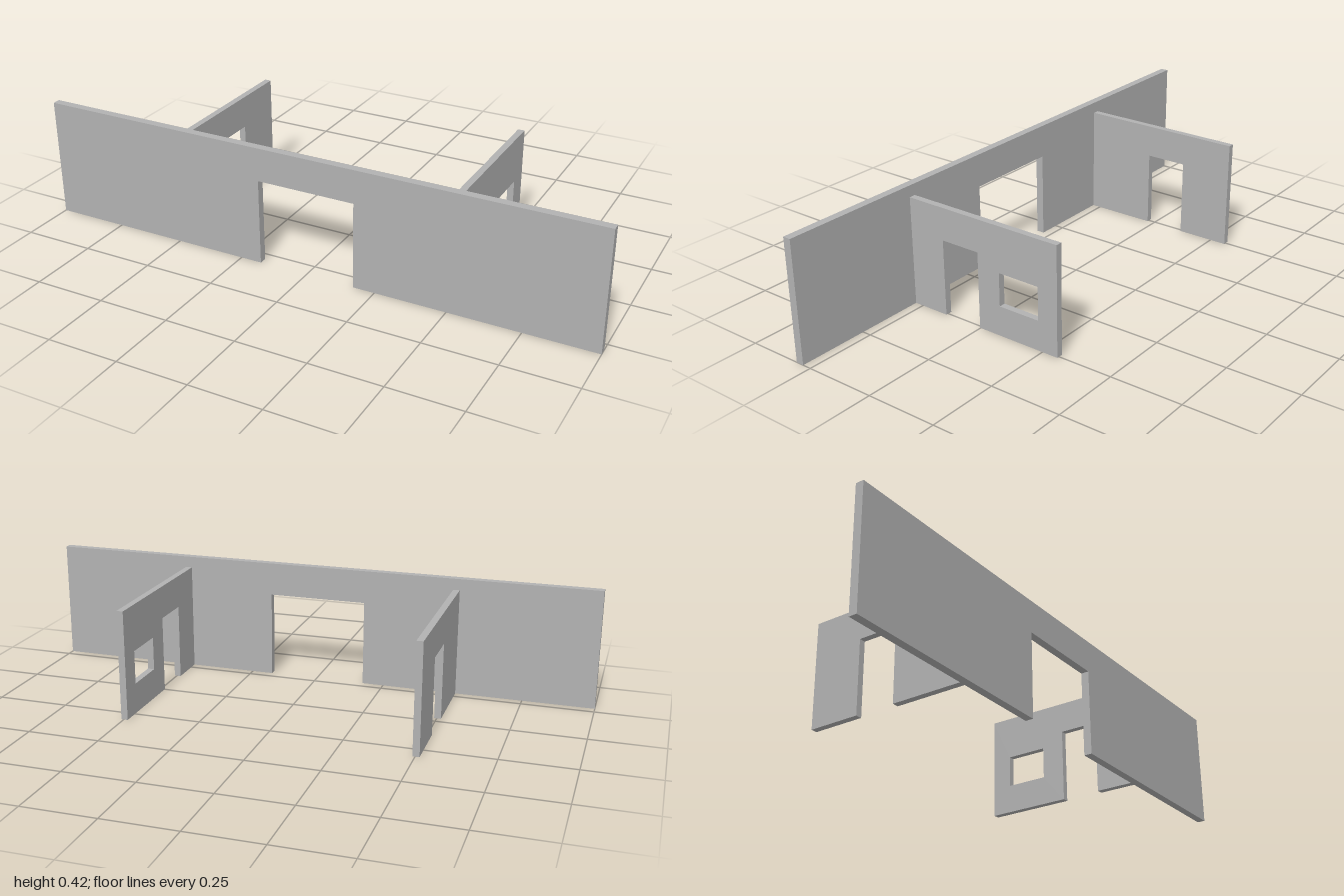
import * as THREE from 'three';

// Wall outline from a to b with a doorway open to the floor
function wallShape(a, b, height, d0, d1, doorHeight) {
  return new THREE.Shape([
    [a, 0], [d0, 0], [d0, doorHeight], [d1, doorHeight],
    [d1, 0], [b, 0], [b, height], [a, height],
  ].map(([u, v]) => new THREE.Vector2(u, v)));
}

function extrudeWall(shape, thickness) {
  const geometry = new THREE.ExtrudeGeometry(shape, { depth: thickness, bevelEnabled: false });
  return geometry.translate(0, 0, -thickness / 2);
}

export function createModel() {
  const group = new THREE.Group();
  group.name = 'walls';
  const plaster = new THREE.MeshStandardMaterial({ color: 0xb2b2b2 });
  plaster.name = 'grey plaster';

  const add = (name, geometry, x, z) => {
    const mesh = new THREE.Mesh(geometry, plaster);
    mesh.name = name;
    mesh.position.set(x, 0, z);
    group.add(mesh);
  };

  // Long front wall with a wide central opening
  add('frontWall', extrudeWall(wallShape(-1, 1, 0.421, -0.174, 0.174, 0.304), 0.028), 0, 0.295);

  // Partition with a doorway and a window, outline running along z
  const leftShape = wallShape(-0.308, 0.281, 0.381, 0.002, 0.146, 0.267);
  leftShape.holes.push(new THREE.Path([
    [-0.235, 0.105], [-0.235, 0.221], [-0.083, 0.221], [-0.083, 0.105],
  ].map(([u, v]) => new THREE.Vector2(u, v))));
  add('leftPartition', extrudeWall(leftShape, 0.023).rotateY(-Math.PI / 2), 0.497, 0);

  // Partition with a doorway only
  const rightShape = wallShape(-0.308, 0.281, 0.381, -0.12, 0.027, 0.267);
  add('rightPartition', extrudeWall(rightShape, 0.023).rotateY(-Math.PI / 2), -0.503, 0);

  return group;
}
